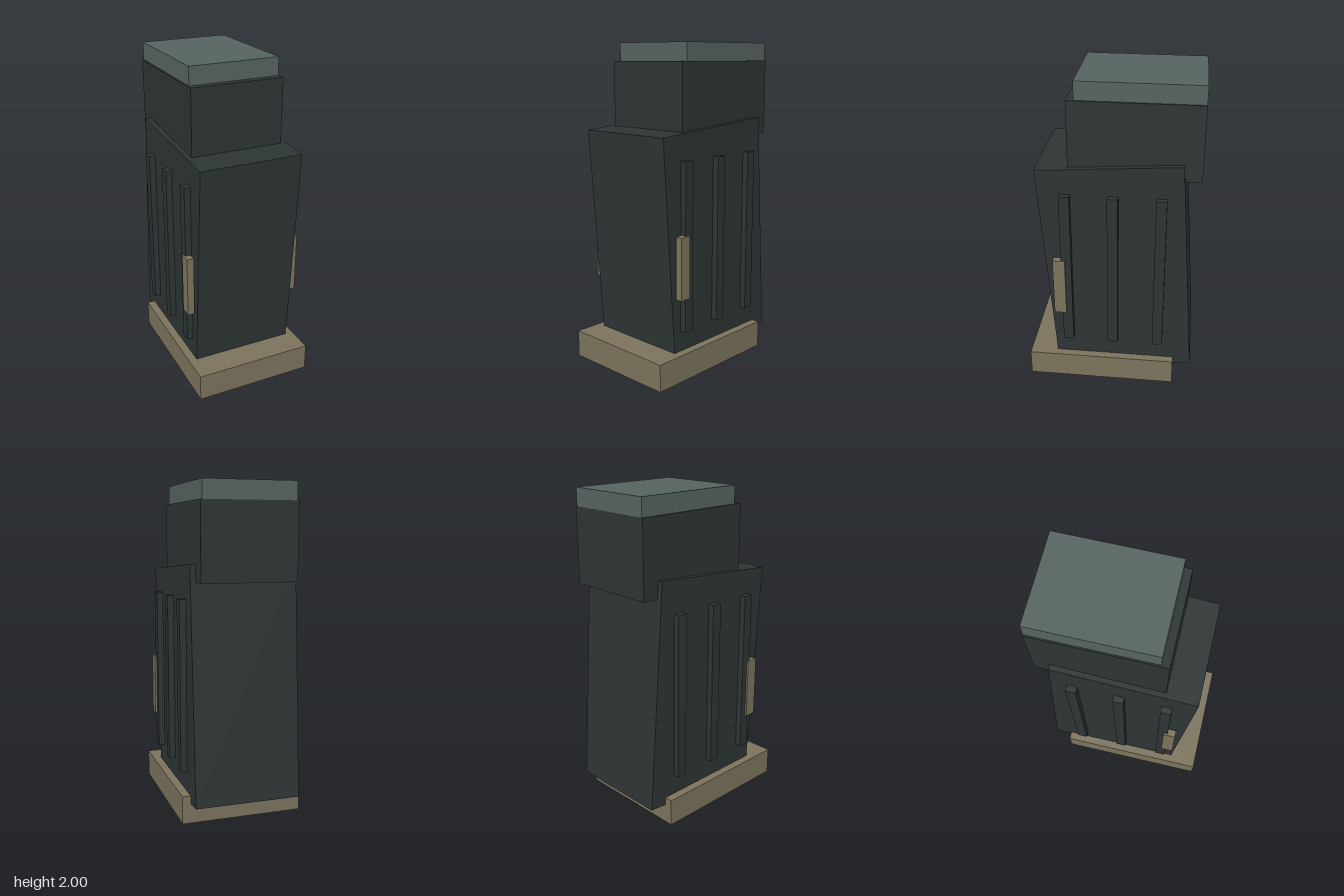
import * as THREE from 'three';

const darkPaint = new THREE.MeshStandardMaterial({ name: 'dark slate', color: 0x2d3534 });
const palePaint = new THREE.MeshStandardMaterial({ name: 'grey green', color: 0x566360 });
const tanPaint = new THREE.MeshStandardMaterial({ name: 'tan', color: 0x7b735c });

function box(name, material, [w, h, d], [x, y, z]) {
  const mesh = new THREE.Mesh(new THREE.BoxGeometry(w, h, d), material);
  mesh.name = name;
  mesh.position.set(x, y, z);
  return mesh;
}

export function createModel() {
  const model = new THREE.Group();
  model.name = 'tower';

  // Plinth and the forward-leaning body
  model.add(box('base', tanPaint, [0.75, 0.17, 0.935], [0, 0.085, 0.06]));
  const body = box('body', darkPaint, [0.648, 1.41, 0.868], [0, 0.802, -0.038]);
  body.rotation.x = 0.07;
  model.add(body);

  // Upright head and its cap, which is sunk into the head
  model.add(box('head', darkPaint, [0.582, 0.46, 0.78], [0, 1.66, -0.138]));
  model.add(box('cap', palePaint, [0.564, 0.2, 0.734], [0, 1.9, -0.16]));

  // Upright ribs and a grip on each side
  for (const side of [1, -1]) {
    const sideName = side > 0 ? 'left' : 'right';
    for (const z of [0.269, -0.016, -0.302]) {
      model.add(box(sideName + 'Rib', darkPaint, [0.064, 1.033, 0.064], [side * 0.331, 0.813, z]));
    }
    model.add(box(sideName + 'Grip', tanPaint, [0.044, 0.383, 0.075], [side * 0.353, 0.703, 0.313]));
  }
  return model;
}
